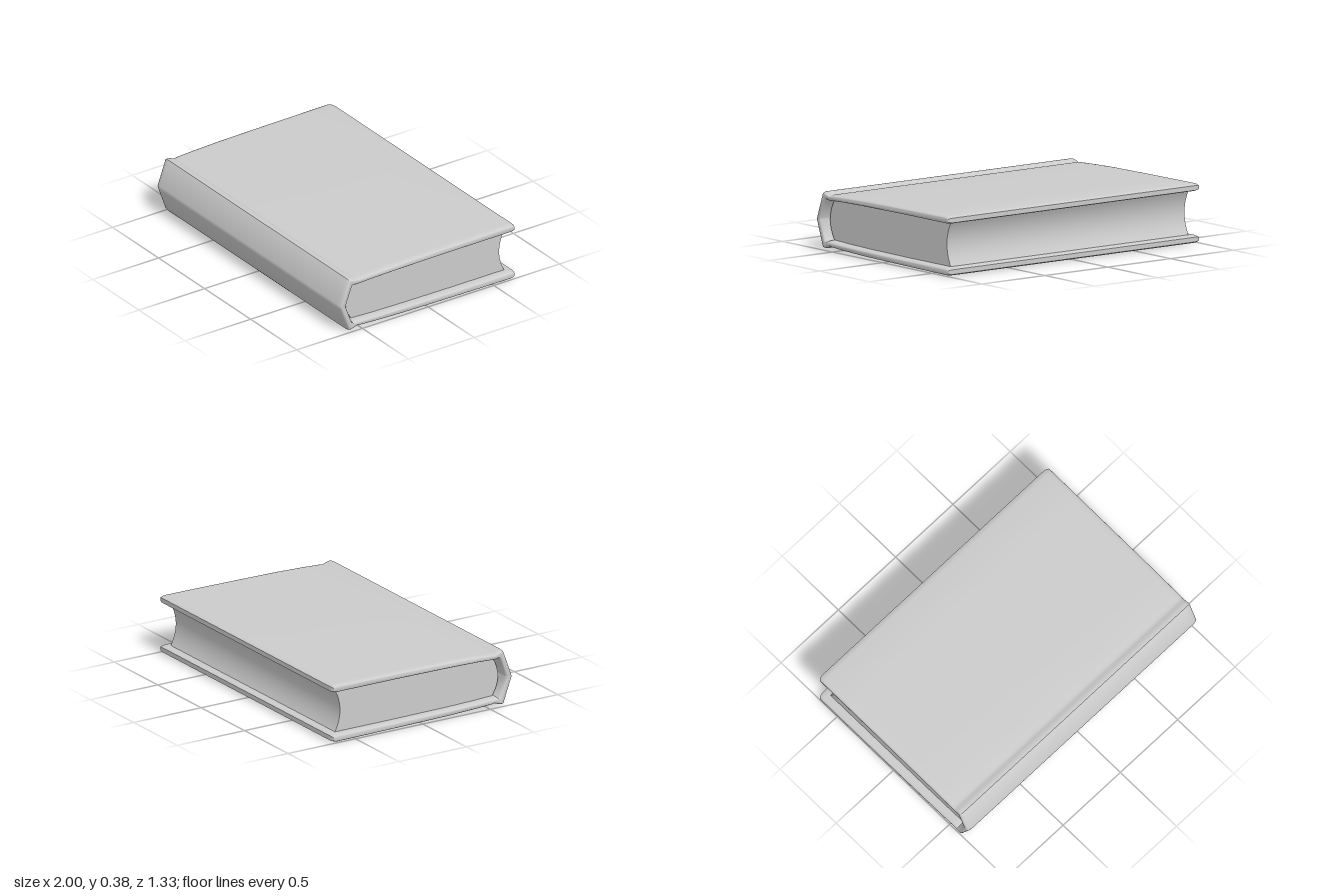
import * as THREE from 'three';
import { toCreasedNormals } from 'three/addons/utils/BufferGeometryUtils.js';

const MID = 0.19; // height of the book's plane of symmetry

// Extrude a (z, y) outline along x, centred on x = 0
function extrudeAlongX(shape, width, bevel, crease) {
  const bevelThickness = bevel ? 0.045 : 0;
  const geometry = new THREE.ExtrudeGeometry(shape, {
    depth: width - 2 * bevelThickness,
    curveSegments: 16,
    bevelEnabled: !!bevel,
    bevelThickness,
    bevelSize: bevel,
    bevelOffset: -bevel,
    bevelSegments: 5,
  });
  geometry.translate(0, 0, -width / 2 + bevelThickness);
  geometry.rotateY(-Math.PI / 2);
  return toCreasedNormals(geometry, crease);
}

// Upper half of the hardcover outline, as [z, height above the middle]
const OUTER = [
  [0.667, 0], [0.664, 0.012], [0.607, 0.17], [0.6, 0.178], [0.588, 0.18], [0.565, 0.175], [0.548, 0.168],
  [0.535, 0.164], [0.515, 0.168], [0.4, 0.174], [0.2, 0.181], [-0.1, 0.185],
  [-0.4, 0.188], [-0.63, 0.19], [-0.652, 0.186], [-0.667, 0.178],
];
const INNER = [
  [-0.667, 0.148], [-0.652, 0.142], [-0.63, 0.138], [-0.2, 0.138], [0.2, 0.135],
  [0.4, 0.131], [0.52, 0.126], [0.545, 0.125], [0.565, 0.13], [0.572, 0.125], [0.616, 0.008], [0.617, 0],
];

function coverShape() {
  const upper = (p) => new THREE.Vector2(p[0], MID + p[1]);
  const lower = (p) => new THREE.Vector2(p[0], MID - p[1]);
  return new THREE.Shape([
    ...OUTER.map(upper),
    ...INNER.map(upper),
    ...INNER.slice(0, -1).reverse().map(lower),
    ...OUTER.slice(1).reverse().map(lower),
  ]);
}

// Page block: rounded at the spine, hollow at the fore edge
function pagesShape() {
  const h = 0.14;
  const s = new THREE.Shape();
  s.moveTo(-0.618, MID - h);
  s.lineTo(0.4, MID - h);
  s.lineTo(0.545, MID - 0.13);
  s.quadraticCurveTo(0.638, MID, 0.545, MID + 0.13);
  s.lineTo(0.4, MID + h);
  s.lineTo(-0.618, MID + h);
  s.quadraticCurveTo(-0.54, MID, -0.618, MID - h);
  return s;
}

export function createModel() {
  const book = new THREE.Group();
  book.name = 'book';
  const material = new THREE.MeshStandardMaterial({ color: 0xcccccc });

  const cover = new THREE.Mesh(extrudeAlongX(coverShape(), 2, 0.013, 0.62), material);
  cover.name = 'cover';

  const pages = new THREE.Mesh(extrudeAlongX(pagesShape(), 1.89, 0, 0.5), material);
  pages.name = 'pages';

  book.add(cover, pages);
  return book;
}
